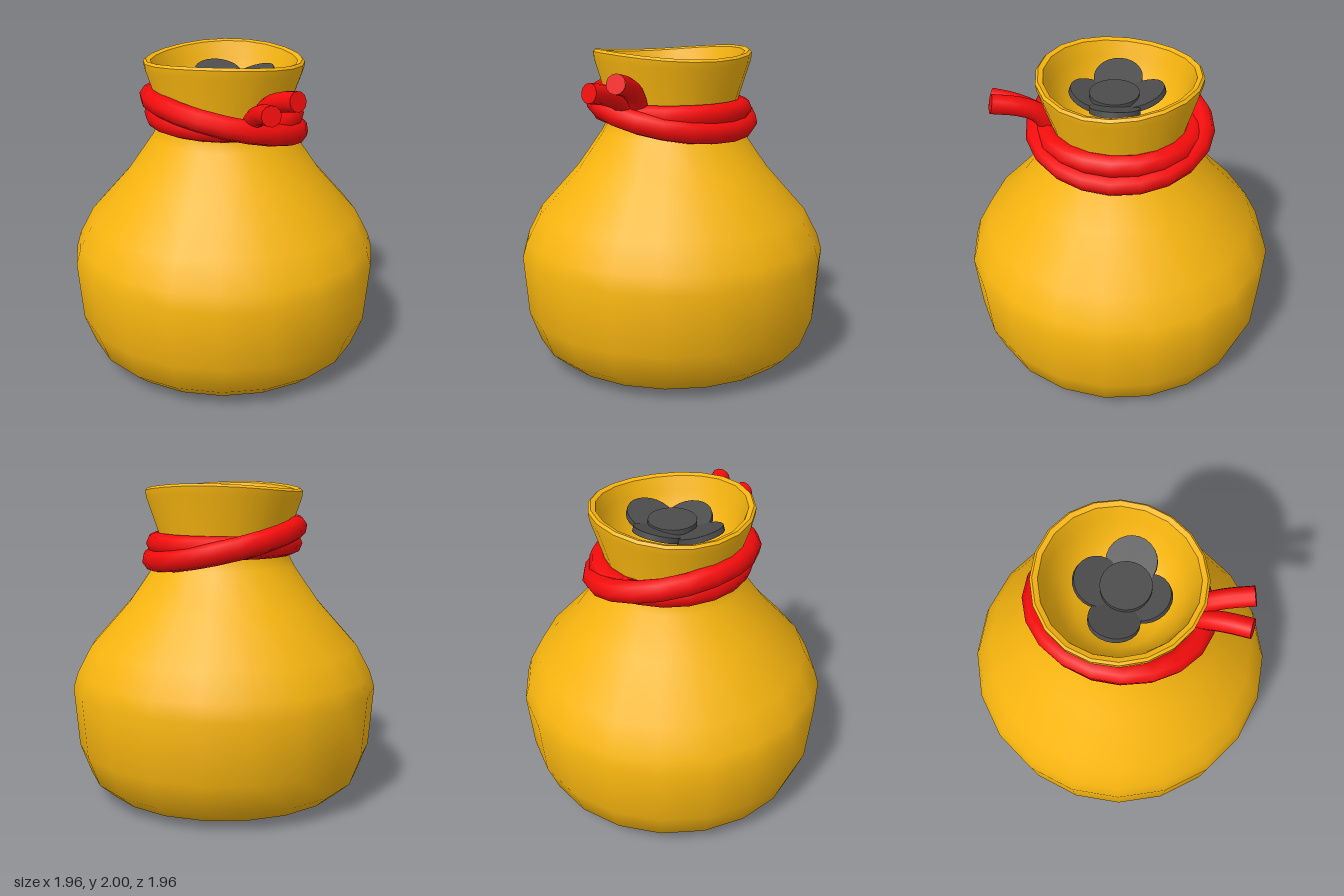
import * as THREE from 'three';
import { toCreasedNormals } from 'three/addons/utils/BufferGeometryUtils.js';

const cloth = new THREE.MeshStandardMaterial({ color: 0xf7b50f });
const red = new THREE.MeshStandardMaterial({ color: 0xf50c0c });
const dark = new THREE.MeshStandardMaterial({ color: 0x4c4c4c });

function add(parent, name, geometry, material) {
  const mesh = new THREE.Mesh(geometry, material);
  mesh.name = name;
  parent.add(mesh);
  return mesh;
}

// Sack: outer wall, rolled rim and inner funnel in one profile, with a wavy mouth
function sackGeometry() {
  const profile = [
    [0, 0], [0.58, 0], [0.79, 0.05], [0.88, 0.13], [0.95, 0.32], [0.98, 0.7],
    [0.95, 0.8], [0.86, 0.97], [0.61, 1.25], [0.45, 1.48], [0.41, 1.56],
    [0.42, 1.69], [0.495, 1.92], [0.5, 1.965], [0.485, 1.98], [0.455, 1.97],
    [0.425, 1.88], [0.37, 1.72], [0.27, 1.6], [0, 1.52],
  ].map(([r, y]) => new THREE.Vector2(r, y));
  const geo = new THREE.LatheGeometry(profile, 20);
  const p = geo.attributes.position;
  for (let i = 0; i < p.count; i++) {
    const y = p.getY(i);
    const k = THREE.MathUtils.smoothstep(y, 1.8, 1.96);
    const phi = Math.atan2(p.getX(i), p.getZ(i));
    p.setY(i, y + k * 0.02 * Math.cos(2 * (phi - 2.7)));
  }
  return toCreasedNormals(geo, 0.75);
}

// Rope end: a bent tube closed by a flat cap
function ropeEnd(points, name) {
  const group = new THREE.Group();
  group.name = name;
  const curve = new THREE.CatmullRomCurve3(points.map((a) => new THREE.Vector3(...a)));
  add(group, 'ropeTube', new THREE.TubeGeometry(curve, 8, 0.06, 12), red);
  const cap = add(group, 'ropeCap', new THREE.CircleGeometry(0.06, 12), red);
  cap.position.copy(curve.getPoint(1));
  cap.quaternion.setFromUnitVectors(new THREE.Vector3(0, 0, 1), curve.getTangent(1));
  return group;
}

export function createModel() {
  const model = new THREE.Group();
  model.name = 'sack';
  add(model, 'bag', sackGeometry(), cloth);

  // Rope wound twice around the neck: one level turn, one slanted turn
  const rope = new THREE.Group();
  rope.name = 'rope';
  model.add(rope);
  const turns = [
    ['levelTurn', 0.43, 0.45, 1.62, 0],
    ['slantedTurn', 0.47, 0.505, 1.622, -0.23],
  ];
  for (const [name, rx, rz, y, tilt] of turns) {
    const geo = new THREE.TorusGeometry(rx, 0.07, 8, 20);
    geo.rotateX(Math.PI / 2).scale(1, 1, rz / rx).rotateZ(tilt);
    add(rope, name, geo, red).position.y = y;
  }
  rope.add(ropeEnd([[0.03, 1.6, 0.4], [0.03, 1.7, 0.5], [0.03, 1.76, 0.64], [0.03, 1.785, 0.78]], 'lowerRopeEnd'));
  rope.add(ropeEnd([[0.08, 1.62, 0.4], [0.11, 1.75, 0.48], [0.15, 1.81, 0.59], [0.2, 1.845, 0.74]], 'upperRopeEnd'));

  // Coins: four leaning inward around a flat one on top
  const coins = new THREE.Group();
  coins.name = 'coins';
  model.add(coins);
  const coinGeo = toCreasedNormals(new THREE.CylinderGeometry(0.15, 0.15, 0.035, 24), 0.6);
  const spots = [
    [0.02, 1.85, 0.03, 0, 0],
    [-0.19, 1.84, 0.03, 0, -0.35],
    [0.18, 1.84, 0.01, 0, 0.35],
    [0, 1.84, -0.13, 0.35, 0],
    [0, 1.82, 0.16, -0.35, 0],
  ];
  for (const [x, y, z, rx, rz] of spots) {
    const coin = add(coins, 'coin', coinGeo, dark);
    coin.position.set(x, y, z);
    coin.rotation.set(rx, 0, rz);
  }
  return model;
}
